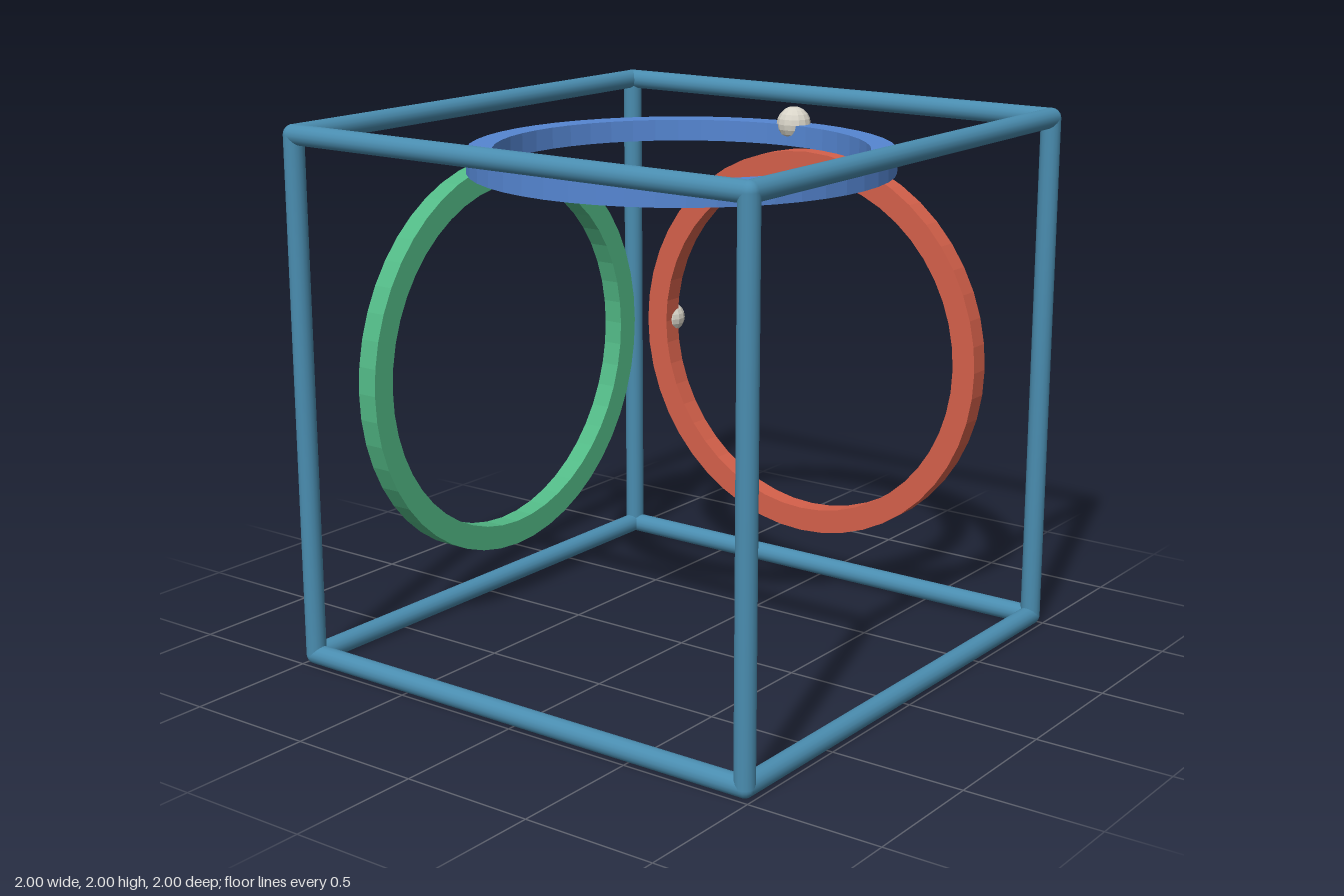
import * as THREE from 'three';

const paint = (name, color) => {
  const m = new THREE.MeshStandardMaterial({ color });
  m.name = name;
  return m;
};

// Gives every face its own normal
const faceted = (geometry) => {
  const g = geometry.toNonIndexed();
  g.computeVertexNormals();
  return g;
};

export function createModel() {
  const model = new THREE.Group();
  model.name = 'cubeWithRings';
  const steel = paint('steel blue', 0x4a8db0);
  const blue = paint('ring blue', 0x5586d2);
  const red = paint('ring red', 0xd4604a);
  const green = paint('ring green', 0x52b986);
  const pearl = paint('pearl', 0xd8d4c8);

  const add = (parent, name, geometry, material, position, rotation = [0, 0, 0]) => {
    const mesh = new THREE.Mesh(geometry, material);
    mesh.name = name;
    mesh.position.set(...position);
    mesh.rotation.set(...rotation);
    parent.add(mesh);
  };

  // Cube frame: four bars along each axis, joined by round corners
  const frame = new THREE.Group();
  frame.name = 'frame';
  frame.position.y = 1;
  model.add(frame);
  const r = 0.037, e = 1 - r, q = Math.PI / 2;
  const bar = new THREE.CylinderGeometry(r, r, 2 * e, 16, 1, true);
  const joint = new THREE.SphereGeometry(r, 16, 12);
  for (const a of [-e, e]) {
    for (const b of [-e, e]) {
      add(frame, 'barX', bar, steel, [0, a, b], [0, 0, q]);
      add(frame, 'barY', bar, steel, [a, 0, b]);
      add(frame, 'barZ', bar, steel, [a, b, 0], [q, 0, 0]);
      for (const c of [-e, e]) add(frame, 'corner', joint, steel, [a, b, c]);
    }
  }

  // Flat rings, each with a bead half sunk into its outer face
  const inner = 0.675, outer = 0.768, h = 0.04;
  const profile = [[inner, -h], [outer, -h], [outer, h], [inner, h], [inner, -h]]
    .map(([x, y]) => new THREE.Vector2(x, y));
  const ring = faceted(new THREE.LatheGeometry(profile, 48));
  const bead = faceted(new THREE.SphereGeometry(0.065, 14, 10));
  const d = 0.848, s = 0.888, m = 0.72;
  add(model, 'topRing', ring, blue, [0, 1 + d, 0]);
  add(model, 'topBead', bead, pearl, [m, 1 + s, 0]);
  add(model, 'leftRing', ring, red, [d, 1, 0], [0, 0, q]);
  add(model, 'leftBead', bead, pearl, [s, 1, -m]);
  add(model, 'backRing', ring, green, [0, 1, -d], [q, 0, 0]);
  add(model, 'backBead', bead, pearl, [0, 1 + m, -s]);

  return model;
}
